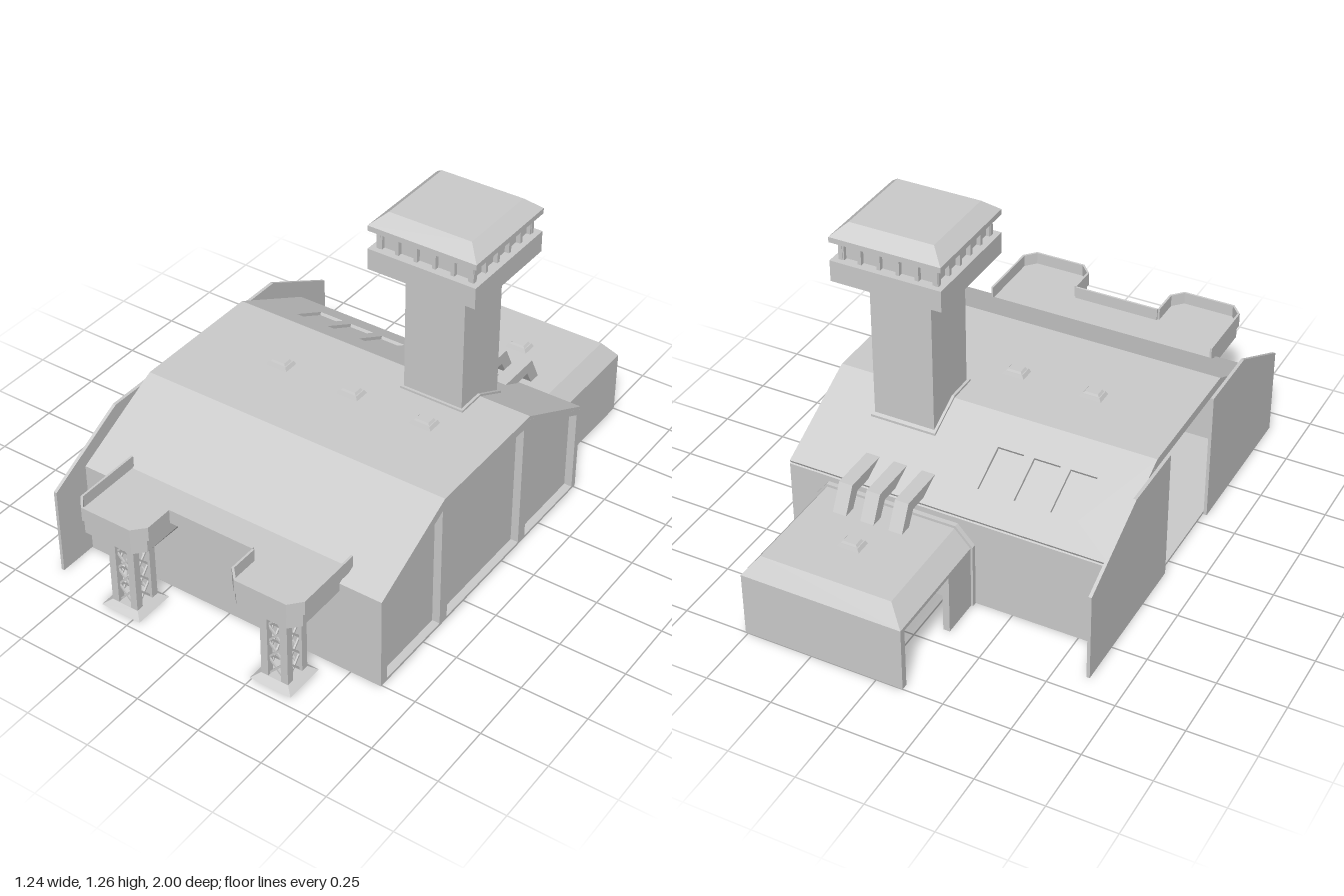
import * as THREE from 'three';
import { ConvexGeometry } from 'three/addons/geometries/ConvexGeometry.js';

const material = new THREE.MeshStandardMaterial({ color: 0xcccccc, flatShading: true, side: THREE.DoubleSide });

const shapeOf = (pts, holes = []) => {
  const shape = new THREE.Shape(pts.map(p => new THREE.Vector2(...p)));
  holes.forEach(h => shape.holes.push(new THREE.Path(h.map(p => new THREE.Vector2(...p)))));
  return shape;
};
const extrude = (pts, depth, holes) =>
  new THREE.ExtrudeGeometry(shapeOf(pts, holes), { depth, bevelEnabled: false });

// Side profile in (z, y), swept from x0 to x1
const sweepX = (pts, x0, x1, holes) => extrude(pts, x1 - x0, holes).rotateY(-Math.PI / 2).translate(x1, 0, 0);
// Plan outline in (x, z), swept from y0 to y1
const sweepY = (pts, y0, y1, holes) => extrude(pts, y1 - y0, holes).rotateX(Math.PI / 2).translate(0, y1, 0);
// Box given by its limits
const block = (x0, x1, y0, y1, z0, z1) =>
  new THREE.BoxGeometry(x1 - x0, y1 - y0, z1 - z0).translate((x0 + x1) / 2, (y0 + y1) / 2, (z0 + z1) / 2);
const hull = pts => new ConvexGeometry(pts.map(p => new THREE.Vector3(...p)));
const rect = (x0, x1, z0, z1) => [[x0, z0], [x1, z0], [x1, z1], [x0, z1]];

// Four-sided block whose top has a different size from its base
function frustum(cx, cz, y0, y1, w0, d0, w1, d1) {
  const g = new THREE.BoxGeometry(1, y1 - y0, 1);
  const p = g.attributes.position;
  for (let i = 0; i < p.count; i++) {
    const top = p.getY(i) > 0;
    p.setX(i, p.getX(i) * (top ? w1 : w0));
    p.setZ(i, p.getZ(i) * (top ? d1 : d0));
  }
  g.computeVertexNormals();
  return g.translate(cx, (y0 + y1) / 2, cz);
}

export function createModel() {
  const model = new THREE.Group();
  const group = name => {
    const g = new THREE.Group();
    g.name = name;
    model.add(g);
    return g;
  };
  const add = (parent, name, geometry) => {
    const m = new THREE.Mesh(geometry, material);
    m.name = name;
    parent.add(m);
  };

  // Hangar shell, open at its right end
  const hangar = group('hangar');
  const inner = [[0.72, 0.01], [0.72, 0.345], [0.385, 0.51], [-0.14, 0.51], [-0.485, 0.337], [-0.485, 0.01]];
  add(hangar, 'shell', sweepX([[0.755, 0], [0.755, 0.365], [0.39, 0.545], [-0.145, 0.545],
    [-0.145, 0.5315], [-0.51, 0.3465], [-0.51, 0]], -0.605, 0.62, [inner]));
  add(hangar, 'endWall', sweepX(inner, 0.57, 0.59));
  for (const z of [0.38, -0.13]) add(hangar, 'endPost', block(0.58, 0.62, 0, 0.515, z - 0.022, z + 0.022));

  // Rear roof slope with three recessed skylights
  const slope = Math.atan2(0.185, 0.365);
  const skylights = [-0.39, -0.253, -0.115].map(x => rect(x - 0.05, x + 0.05, -0.297, -0.128));
  add(hangar, 'rearRoof', sweepY(rect(-0.605, 0.62, -0.409, 0), -0.012, 0, skylights)
    .rotateX(-slope).translate(0, 0.545, -0.145));

  // Sliding doors, pulled apart
  add(hangar, 'frontDoor', sweepX([[0.3, 0], [0.905, 0], [0.905, 0.345], [0.575, 0.515], [0.3, 0.515]], -0.62, -0.608));
  add(hangar, 'rearDoor', sweepX([[-0.065, 0], [-0.67, 0], [-0.67, 0.345], [-0.34, 0.515], [-0.065, 0.515]], -0.62, -0.608));

  // Roof hatches
  for (const [x, y, z] of [[-0.255, 0.545, 0.09], [0.045, 0.545, 0.09], [0.345, 0.545, 0.09], [0.22, 0.315, -0.76]]) {
    const hatch = group('roofHatch');
    add(hatch, 'hatchBase', frustum(x, z, y, y + 0.013, 0.085, 0.06, 0.07, 0.05));
    add(hatch, 'hatchCap', frustum(x, z, y + 0.013, y + 0.021, 0.062, 0.042, 0.05, 0.034));
  }

  // Control tower
  const tower = group('tower');
  const tx = 0.2925, tz = -0.158;
  add(tower, 'towerCollar', sweepX([[-0.03, 0.553], [-0.145, 0.553], [-0.287, 0.482],
    [-0.287, 0.44], [-0.03, 0.5]], 0.165, 0.42));
  add(tower, 'shaft', block(0.175, 0.41, 0.44, 0.995, -0.275, -0.04));
  add(tower, 'cabFlare', frustum(tx, tz, 0.995, 1.05, 0.235, 0.235, 0.42, 0.42));
  add(tower, 'cabBase', frustum(tx, tz, 1.05, 1.13, 0.42, 0.42, 0.42, 0.42));
  add(tower, 'windows', frustum(tx, tz, 1.13, 1.2, 0.345, 0.345, 0.345, 0.345));
  add(tower, 'roofEdge', frustum(tx, tz, 1.2, 1.22, 0.42, 0.42, 0.42, 0.42));
  add(tower, 'towerRoof', frustum(tx, tz, 1.22, 1.265, 0.42, 0.42, 0.32, 0.32));
  for (let side = 0; side < 4; side++) {
    for (let i = 0; i < 6; i++) {
      const mullion = new THREE.BoxGeometry(0.014, 0.07, 0.022).translate((i - 2.5) * 0.072, 1.165, 0.178);
      add(tower, 'mullion', mullion.rotateY(side * Math.PI / 2).translate(tx, 0, tz));
    }
  }

  // Rear annex, open on its right side
  const annex = group('annex');
  add(annex, 'backWall', block(-0.1, 0.51, 0, 0.25, -1, -0.975));
  add(annex, 'leftWall', block(0.485, 0.51, 0, 0.25, -1, -0.51));
  add(annex, 'rightWallStub', block(-0.1, -0.075, 0, 0.25, -0.68, -0.51));
  add(annex, 'annexRoof', hull([
    ...rect(-0.1, 0.51, -1, -0.51).flatMap(([x, z]) => [[x, 0.235, z], [x, 0.25, z]]),
    ...rect(-0.04, 0.46, -0.95, -0.51).map(([x, z]) => [x, 0.315, z])]));
  add(annex, 'annexCollar', extrude([[-0.108, 0], [-0.108, 0.255], [-0.043, 0.325], [0.463, 0.325],
    [0.518, 0.255], [0.518, 0]], 0.018).translate(0, 0, -0.528));

  // Bent ducts from the hangar roof to the annex roof
  for (const x of [0.125, 0.235, 0.343]) {
    add(annex, 'duct', sweepX([[-0.4, 0.412], [-0.59, 0.412], [-0.642, 0.31], [-0.595, 0.31],
      [-0.56, 0.37], [-0.4, 0.37]], x - 0.026, x + 0.026));
  }

  // Front platform with a thin parapet around its edge
  const platform = group('platform');
  const edge = [[-0.45, 0.69], [-0.45, 0.955], [-0.41, 1], [-0.205, 1], [-0.163, 0.955], [-0.163, 0.845],
    [0.178, 0.845], [0.178, 0.955], [0.22, 1], [0.425, 1], [0.465, 0.955], [0.465, 0.69]];
  add(platform, 'deck', sweepY(edge, 0.385, 0.393));
  for (let i = 0; i < edge.length - 1; i++) {
    const [ax, az] = edge[i], [bx, bz] = edge[i + 1];
    const len = Math.hypot(bx - ax, bz - az);
    const wall = new THREE.BoxGeometry(len, 0.05, 0.008).translate(0, 0, -0.004);
    add(platform, 'parapet', wall.rotateY(Math.atan2(az - bz, bx - ax)).translate((ax + bx) / 2, 0.415, (az + bz) / 2));
  }
  add(platform, 'bridge', hull([-0.17, 0.185].flatMap(x =>
    [[x, 0.388, 0.7], [x, 0.388, 0.843], [x, 0.33, 0.75], [x, 0.33, 0.7]])));

  // Two prongs, each with a tapered underside and a lattice leg
  for (const [cx, legX] of [[-0.3065, -0.305], [0.3215, 0.325]]) {
    const body = [[-0.135, 0.74], [-0.135, 0.955], [-0.098, 0.995], [0.098, 0.995], [0.135, 0.955], [0.135, 0.74]]
      .map(([x, z]) => [cx + x, z]);
    add(platform, 'prong', sweepY(body, 0.333, 0.388));
    add(platform, 'prongUnderside', hull([...body.map(([x, z]) => [x, 0.333, z]),
      [cx - 0.098, 0.28, 0.75], [cx + 0.098, 0.28, 0.75]]));

    const leg = group('latticeLeg');
    const lz = 0.885, half = 0.04;
    add(leg, 'foot', frustum(legX, lz, 0, 0.02, 0.165, 0.16, 0.11, 0.11));
    for (const sx of [-1, 1]) for (const sz of [-1, 1]) {
      const px = legX + sx * half, pz = lz + sz * half;
      add(leg, 'post', block(px - 0.014, px + 0.014, 0.02, 0.318, pz - 0.014, pz + 0.014));
    }
    const bays = 4, bayHeight = 0.285 / bays;
    for (let side = 0; side < 4; side++) for (let i = 0; i < bays; i++) for (const s of [-1, 1]) {
      const brace = new THREE.BoxGeometry(0.007, Math.hypot(0.064, bayHeight), 0.006)
        .rotateZ(s * Math.atan2(0.064, bayHeight)).translate(0, 0.02 + (i + 0.5) * bayHeight, half);
      add(leg, 'brace', brace.rotateY(side * Math.PI / 2).translate(legX, 0, lz));
    }
  }
  return model;
}
